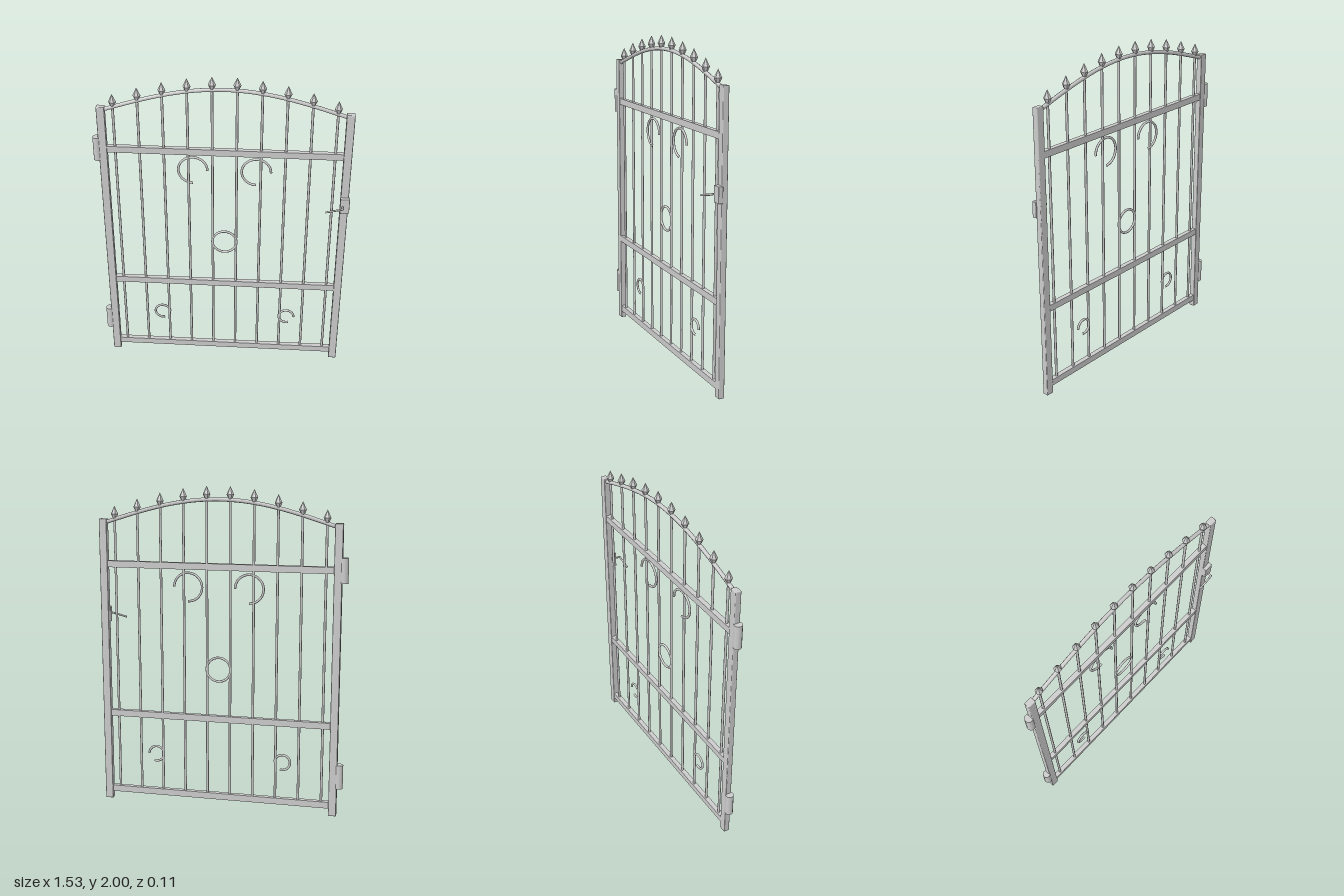
import * as THREE from 'three';
import { RoundedBoxGeometry } from 'three/addons/geometries/RoundedBoxGeometry.js';

export function createModel() {
  const gate = new THREE.Group();
  gate.name = 'gardenGate';
  const smooth = new THREE.MeshStandardMaterial({ color: 0xcccccc });
  const faceted = new THREE.MeshStandardMaterial({ color: 0xcccccc, flatShading: true });
  const Z = -0.028; // plane of the gate
  const MID = 0.0115; // middle between the posts
  const HALF = 0.695; // half of the opening

  const add = (name, geometry, x, y, z = Z, material = smooth) => {
    const mesh = new THREE.Mesh(geometry, material);
    mesh.name = name;
    mesh.position.set(x, y, z);
    gate.add(mesh);
    return mesh;
  };
  const archY = (x) => 1.777 + 0.144 * Math.cos(((x - MID) / HALF) * Math.PI / 2);

  // Posts
  for (const [name, x] of [['hingePost', -0.707], ['latchPost', 0.731]]) {
    add(name, new RoundedBoxGeometry(0.049, 1.795, 0.037, 2, 0.005), x, 0.8975);
  }

  // Horizontal rails
  for (const [name, y] of [['bottomRail', 0.067], ['middleRail', 0.573], ['topRail', 1.52]]) {
    add(name, new THREE.BoxGeometry(2 * HALF, 0.04, 0.03), MID, y);
  }

  // Arched top bar
  const archPoints = [];
  for (let i = 0; i <= 20; i++) {
    const x = MID + HALF * (i / 10 - 1);
    archPoints.push(new THREE.Vector3(x, archY(x), 0));
  }
  add('archedTopBar', new THREE.TubeGeometry(new THREE.CatmullRomCurve3(archPoints), 40, 0.012, 8), 0, 0);

  // Pickets with spear finials
  const spear = new THREE.LatheGeometry(
    [[0, 0.005], [0.011, 0.005], [0.023, 0.032], [0, 0.081]].map(([r, y]) => new THREE.Vector2(r, y)), 6);
  spear.rotateY(Math.PI / 6);
  for (let i = 0; i < 10; i++) {
    const x = MID + (i - 4.5) * 0.1438;
    const top = archY(x);
    const bottom = 0.06;
    add('picket', new THREE.CylinderGeometry(0.008, 0.008, top + 0.01 - bottom, 8), x, (top + 0.01 + bottom) / 2);
    add('spearFinial', spear, x, top, Z, faceted);
  }

  // Ring and open scrolls
  const scroll = (name, x, y, radius, arc) =>
    add(name, new THREE.TorusGeometry(radius, 0.0075, 8, 36, arc), x, y);
  scroll('centreRing', MID, 0.886, 0.075, Math.PI * 2);
  for (const side of [-1, 1]) {
    scroll('upperScroll', MID + side * 0.189, 1.392, 0.087, Math.PI * 1.5);
    scroll('lowerScroll', MID + side * 0.403, 0.318, 0.048, Math.PI * 1.6);
  }

  // Hinge barrels
  for (const y of [0.255, 1.52]) {
    add('hingeBarrel', new THREE.CylinderGeometry(0.025, 0.025, 0.15, 12), -0.742, y);
  }

  // Latch plate and bent handle
  add('latchPlate', new RoundedBoxGeometry(0.057, 0.097, 0.03, 2, 0.004), 0.7335, 1.202, -0.001);
  const rod = (name, a, b) => {
    const from = new THREE.Vector3(...a);
    const direction = new THREE.Vector3(...b).sub(from);
    const mesh = add(name, new THREE.CylinderGeometry(0.006, 0.006, direction.length(), 8), 0, 0, 0);
    mesh.position.copy(from).addScaledVector(direction, 0.5);
    mesh.quaternion.setFromUnitVectors(new THREE.Vector3(0, 1, 0), direction.normalize());
  };
  rod('handleStem', [0.72, 1.203, 0.022], [0.72, 1.203, 0.05]);
  rod('handleLever', [0.722, 1.203, 0.047], [0.62, 1.178, 0.047]);
  add('handleElbow', new THREE.SphereGeometry(0.006, 10, 8), 0.721, 1.203, 0.047);

  return gate;
}
